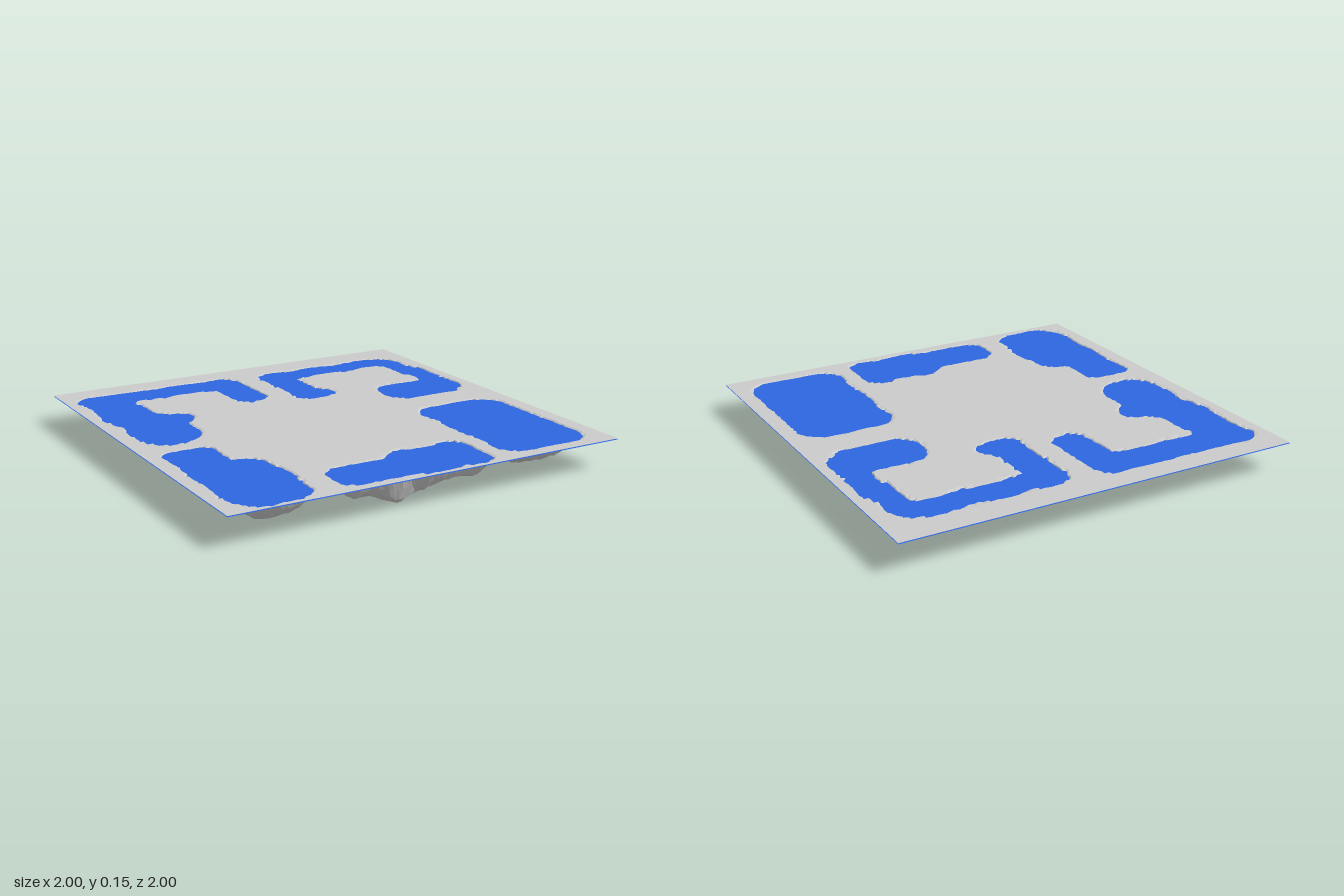
import * as THREE from 'three';

const LAND = 0.155, WATER = 0.15, CELLS = 84;

// Each basin: floor depth, width of the sloping bank, and overlapping
// rounded bars [x0, z0, x1, z1, cornerRadius] that merge into its outline
const basins = [
  { depth: 0.097, bank: 0.095, bars: [ // back left hook
    [-0.92, -0.87, -0.69, -0.32, 0.08], [-0.91, -0.86, -0.08, -0.70, 0.07],
    [-0.22, -0.81, -0.06, -0.41, 0.07], [-0.90, -0.45, -0.62, 0.04, 0.11],
    [-0.85, -0.39, -0.55, -0.25, 0.06]] },
  { depth: 0.09, bank: 0.075, bars: [ // back right hook
    [0.09, -0.83, 0.87, -0.70, 0.06], [0.08, -0.80, 0.23, -0.31, 0.05],
    [0.11, -0.43, 0.28, -0.32, 0.05], [0.80, -0.78, 0.90, -0.45, 0.05],
    [0.83, -0.58, 0.93, -0.12, 0.05], [0.49, -0.32, 0.90, -0.06, 0.11]] },
  { depth: 0.1, bank: 0.1, bars: [ // front left
    [-0.91, 0.15, -0.68, 0.85, 0.07], [-0.90, 0.39, -0.55, 0.96, 0.12]] },
  { depth: 0.1, bank: 0.09, bars: [ // front middle
    [-0.41, 0.71, 0.10, 0.93, 0.07], [-0.07, 0.65, 0.34, 0.95, 0.07]] },
  { depth: 0.137, bank: 0.2, bars: [ // front right
    [0.45, 0.13, 0.91, 0.92, 0.11]] },
];

// Distance from the edge of a rounded bar, positive inside
function barDistance([x0, z0, x1, z1, r], x, z) {
  const qx = Math.abs(x - (x0 + x1) / 2) - (x1 - x0) / 2 + r;
  const qz = Math.abs(z - (z0 + z1) / 2) - (z1 - z0) / 2 + r;
  return r - Math.min(Math.max(qx, qz), 0) - Math.hypot(Math.max(qx, 0), Math.max(qz, 0));
}

// Larger of two distances, with a fillet where they meet
function blend(a, b) {
  const k = 0.04, h = Math.max(k - Math.abs(a - b), 0);
  return Math.max(a, b) + h * h / (4 * k);
}

// Repeatable value from 0 to 1 for a position
function hash(x, z) {
  const s = Math.sin(x * 127.1 + z * 311.7) * 43758.5453;
  return s - Math.floor(s);
}

function groundHeight(x, z) {
  const wobble = 0.007 * Math.sin(x * 23 + 1) * Math.cos(z * 19) + 0.006 * hash(x, z);
  for (const { depth, bank, bars } of basins) {
    const d = bars.map((bar) => barDistance(bar, x, z)).reduce(blend) + 0.006 + wobble;
    if (d <= 0) continue;
    const fall = Math.sin(Math.min(1, d / bank) * Math.PI / 2);
    const rough = 0.93 + 0.07 * Math.sin(x * 17 + 2 * Math.sin(z * 9)) * Math.cos(z * 14)
      - 0.07 * hash(z, x);
    // Deep hole at the front edge of the middle basin
    const hole = 0.062 * Math.exp(-(((x + 0.13) / 0.11) ** 2) - ((z - 0.86) / 0.08) ** 2);
    return Math.max(0, LAND - fall * (depth * rough + hole));
  }
  return LAND;
}

export function createModel() {
  const group = new THREE.Group();
  group.name = 'lakeTerrain';

  // Faceted ground sheet with hollowed basins
  const ground = new THREE.PlaneGeometry(2, 2, CELLS, CELLS).rotateX(-Math.PI / 2);
  const p = ground.attributes.position;
  for (let i = 0; i < p.count; i++) {
    let x = p.getX(i), z = p.getZ(i);
    if (Math.abs(x) < 0.99 && Math.abs(z) < 0.99) { // loosen the grid away from the border
      const jx = hash(x + 3, z) - 0.5, jz = hash(x, z + 5) - 0.5;
      x += jx * 0.01;
      z += jz * 0.01;
    }
    p.setXYZ(i, x, groundHeight(x, z), z);
  }
  ground.computeVertexNormals();
  const land = new THREE.Mesh(ground, new THREE.MeshStandardMaterial({
    color: 0xcccccc, flatShading: true, side: THREE.DoubleSide }));
  land.name = 'ground';

  // Flat water sheet just under the land level
  const water = new THREE.Mesh(
    new THREE.PlaneGeometry(2, 2).rotateX(-Math.PI / 2),
    new THREE.MeshStandardMaterial({ color: 0x2e66e0, side: THREE.DoubleSide }));
  water.name = 'water';
  water.position.y = WATER;

  group.add(land, water);
  return group;
}
